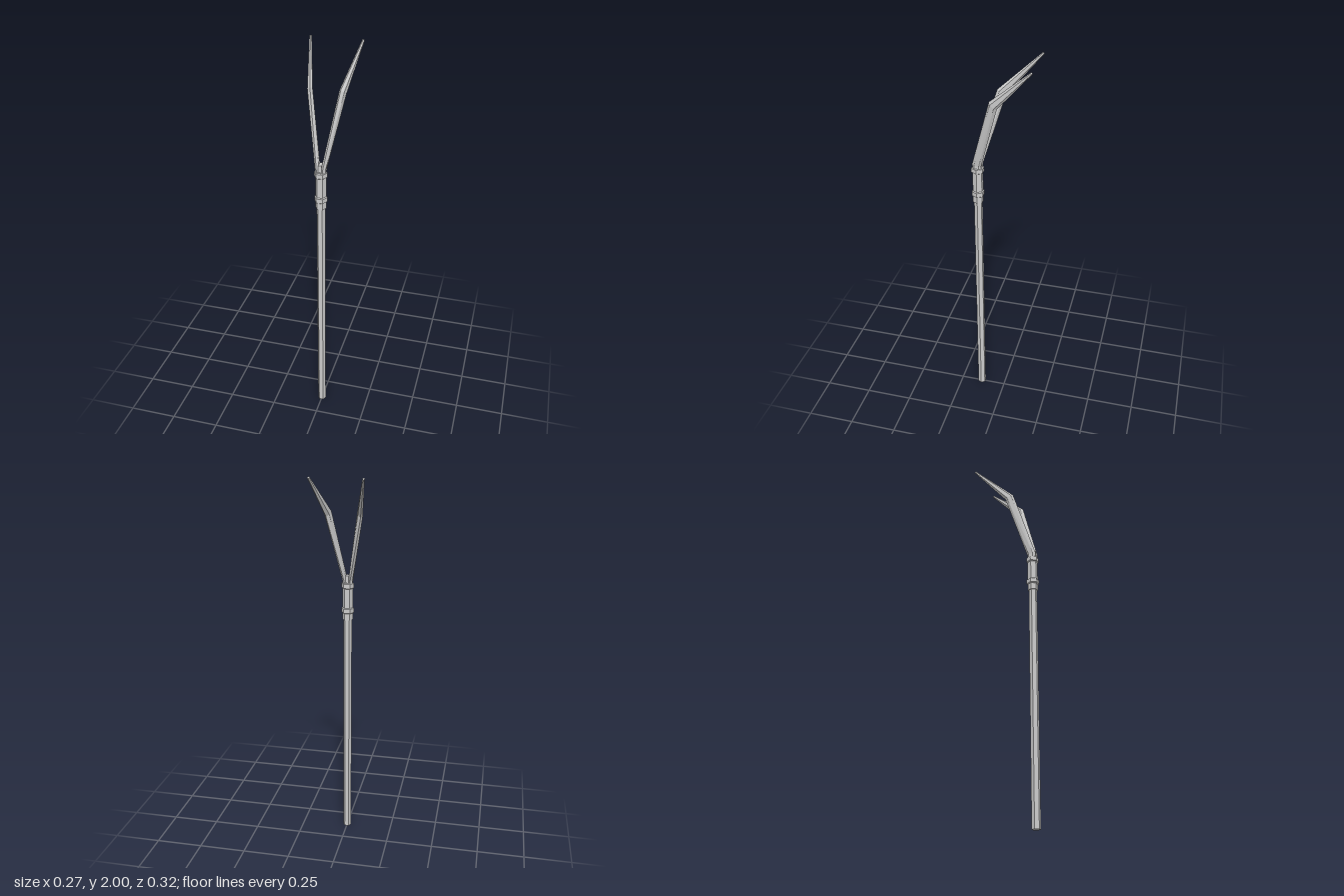
import * as THREE from 'three';

const AXIS_Z = 0.133;
const mat = new THREE.MeshStandardMaterial({ color: 0xcccccc, flatShading: true });

// Hexagonal turned part with corners on the left and right
function hexPart(name, profile) {
  const geo = new THREE.LatheGeometry(profile.map(([r, y]) => new THREE.Vector2(r, y)), 6, Math.PI / 6 + Math.PI / 3);
  const mesh = new THREE.Mesh(geo.toNonIndexed(), mat);
  mesh.geometry.computeVertexNormals();
  mesh.name = name;
  mesh.position.z = AXIS_Z;
  return mesh;
}

// Tapered six-sided prong lofted through sections: centre c, half axes v (front) and u (outward)
function prong(name, side) {
  const sections = [
    { c: [0.014, 1.41, 0.133], v: [0, 0, 0.022], u: [0.012, 0, 0] },
    { c: [0.016, 1.455, 0.133], v: [0, 0.004, 0.023], u: [0.012, -0.003, 0] },
    { c: [0.079, 1.805, 0.032], v: [-0.006, 0.014, 0.02], u: [0.014, -0.003, 0.003] },
    { c: [0.128, 1.996, -0.155], v: [0, 0.004, 0.004], u: [0.006, -0.001, 0.001] },
  ];
  const pos = [], idx = [], n = 6;
  const tri = (a, b, c) => (side > 0 ? idx.push(a, b, c) : idx.push(a, c, b));
  for (const { c, v, u } of sections) {
    for (let i = 0; i < n; i++) {
      const t = (i / n) * Math.PI * 2;
      const p = c.map((x, k) => x + v[k] * Math.cos(t) + u[k] * Math.sin(t));
      pos.push(p[0] * side, p[1], p[2]);
    }
  }
  const last = (sections.length - 1) * n;
  for (let s = 0; s < last; s += n) {
    for (let i = 0; i < n; i++) {
      const j = (i + 1) % n;
      tri(s + i, s + j, s + n + j);
      tri(s + i, s + n + j, s + n + i);
    }
  }
  // End caps
  for (let i = 1; i < n - 1; i++) {
    tri(last, last + i, last + i + 1);
    tri(0, i + 1, i);
  }
  const geo = new THREE.BufferGeometry();
  geo.setAttribute('position', new THREE.Float32BufferAttribute(pos, 3));
  geo.setIndex(idx);
  const flat = geo.toNonIndexed();
  flat.computeVertexNormals();
  const mesh = new THREE.Mesh(flat, mat);
  mesh.name = name;
  return mesh;
}

export function createModel() {
  const group = new THREE.Group();
  group.name = 'fork';

  // Long wooden handle
  group.add(hexPart('handle', [[0, 0], [0.022, 0], [0.022, 1.26], [0, 1.26]]));

  // Socket holding the prongs
  group.add(hexPart('socket', [[0, 1.24], [0.027, 1.24], [0.027, 1.44], [0, 1.44]]));

  // Two raised bands around the socket
  for (const [name, y] of [['lowerBand', 1.29], ['upperBand', 1.422]]) {
    group.add(hexPart(name, [
      [0.026, y - 0.016], [0.033, y - 0.011], [0.033, y + 0.011], [0.026, y + 0.016],
    ]));
  }

  // Small wedge between the prongs
  const wedge = new THREE.Mesh(new THREE.BoxGeometry(0.016, 0.07, 0.038), mat);
  wedge.name = 'wedge';
  wedge.position.set(0, 1.44, AXIS_Z);
  group.add(wedge);

  // Bent prongs, mirrored
  group.add(prong('leftProng', 1), prong('rightProng', -1));
  return group;
}
